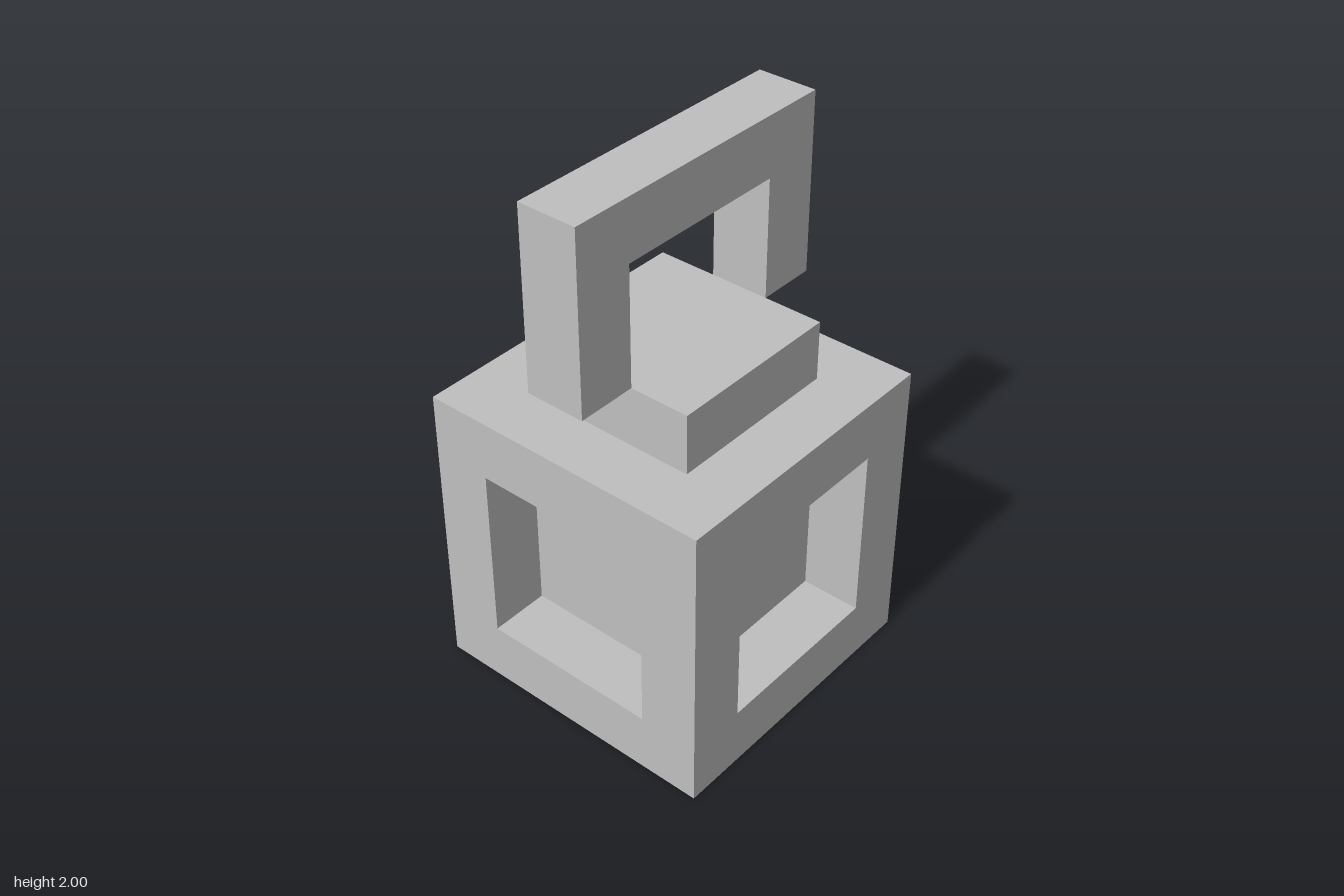
import * as THREE from 'three';
import { mergeGeometries } from 'three/addons/utils/BufferGeometryUtils.js';

const U = 1 / 9; // modelling unit: the whole model is 18 units tall

// Square outline centred on the origin
function square(half, PathType) {
  return new PathType([
    new THREE.Vector2(-half, -half), new THREE.Vector2(half, -half),
    new THREE.Vector2(half, half), new THREE.Vector2(-half, half),
  ]);
}

// One side of the body: square frame, four reveal walls and the recessed panel, facing +z
function recessedSide() {
  const frame = square(5 * U, THREE.Shape);
  frame.holes.push(square(3 * U, THREE.Path));
  const parts = [
    new THREE.ShapeGeometry(frame).translate(0, 0, 5 * U),
    new THREE.PlaneGeometry(6 * U, 6 * U).translate(0, 0, 3 * U),
  ];
  for (let i = 0; i < 4; i++) {
    parts.push(new THREE.PlaneGeometry(6 * U, 2 * U)
      .rotateX(-Math.PI / 2)
      .translate(0, -3 * U, 4 * U)
      .rotateZ(i * Math.PI / 2));
  }
  return mergeGeometries(parts);
}

export function createModel() {
  const model = new THREE.Group();
  const grey = new THREE.MeshStandardMaterial({ color: 0xbfbfbf });
  grey.name = 'grey';

  const add = (name, geometry, parent = model) => {
    const mesh = new THREE.Mesh(geometry, grey);
    mesh.name = name;
    parent.add(mesh);
    return mesh;
  };

  // Cube body with a recess in each of its four sides
  const body = new THREE.Group();
  body.name = 'body';
  body.position.y = 5 * U;
  model.add(body);
  const side = recessedSide();
  ['frontSide', 'leftSide', 'backSide', 'rightSide'].forEach((name, i) => {
    add(name, side, body).rotation.y = i * Math.PI / 2;
  });
  const cap = new THREE.PlaneGeometry(10 * U, 10 * U);
  const top = add('bodyTop', cap, body);
  top.rotation.x = -Math.PI / 2;
  top.position.y = 5 * U;
  const bottom = add('bodyBottom', cap, body);
  bottom.rotation.x = Math.PI / 2;
  bottom.position.y = -5 * U;

  // Neck block on top of the body
  add('neck', new THREE.BoxGeometry(6 * U, 2 * U, 6 * U).translate(0, 11 * U, 0));

  // Arched handle standing astride the neck
  const arch = new THREE.Shape([
    [-5, 12], [-3, 12], [-3, 16], [3, 16], [3, 12], [5, 12], [5, 18], [-5, 18],
  ].map(([x, y]) => new THREE.Vector2(x * U, y * U)));
  add('handle', new THREE.ExtrudeGeometry(arch, { depth: 2 * U, bevelEnabled: false })
    .translate(0, 0, -U));

  return model;
}
